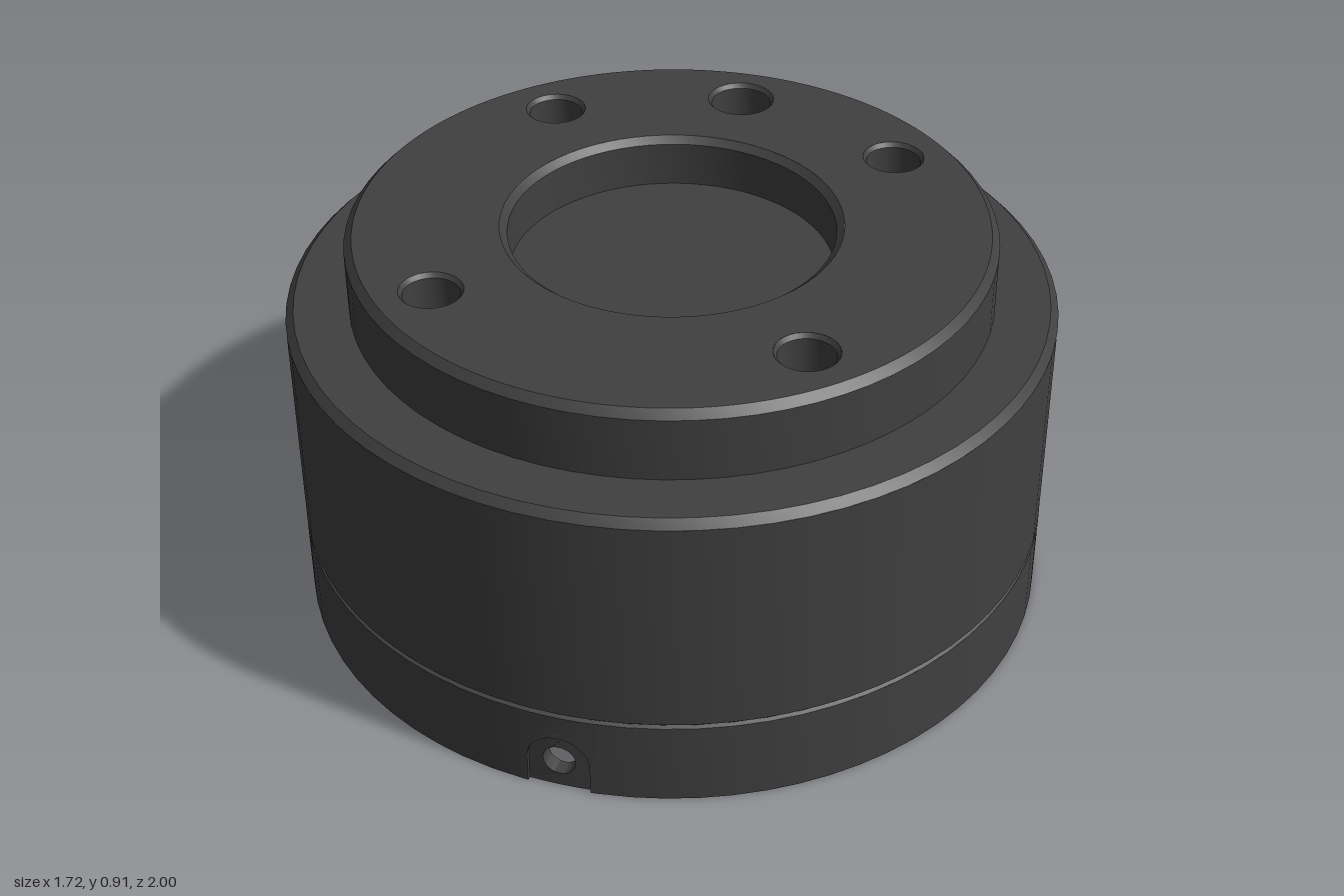
import * as THREE from 'three';
import { toCreasedNormals } from 'three/addons/utils/BufferGeometryUtils.js';

const SEG = 72, R = 0.86, INNER = 0.815;
const dark = new THREE.MeshStandardMaterial({ color: 0x404040 });
const grey = new THREE.MeshStandardMaterial({ color: 0xcccccc });
const steel = new THREE.MeshStandardMaterial({ color: 0xc4c8e6 });

function add(parent, name, geometry, material = dark) {
  const mesh = new THREE.Mesh(geometry, material);
  mesh.name = name;
  parent.add(mesh);
  return mesh;
}

// Turned part from [radius, y] pairs; gap leaves an opening centred on +z
function turned(points, seg = SEG, gap = 0) {
  const profile = points.map(([r, y]) => new THREE.Vector2(r, y));
  return toCreasedNormals(new THREE.LatheGeometry(profile, seg, gap, Math.PI * 2 - 2 * gap), 0.5);
}

// Wall panel outline, its long edges split so that it can be bent
function panelShape(w, y0, y1) {
  const n = 8, pts = [];
  for (let i = 0; i <= n; i++) pts.push(new THREE.Vector2(-w + (2 * w * i) / n, y0));
  for (let i = n; i >= 0; i--) pts.push(new THREE.Vector2(-w + (2 * w * i) / n, y1));
  return new THREE.Shape(pts);
}

function circle(x, y, r) {
  return new THREE.Path().absarc(x, y, r, 0, Math.PI * 2, true);
}

// Extrude a shape between two radii and wrap it round the y axis
function bentPanel(shape, r0, r1) {
  const geo = new THREE.ExtrudeGeometry(shape, { depth: r1 - r0, bevelEnabled: false, curveSegments: 24 });
  const p = geo.attributes.position;
  for (let i = 0; i < p.count; i++) {
    const a = p.getX(i) / R, r = r0 + p.getZ(i);
    p.setXYZ(i, r * Math.sin(a), p.getY(i), r * Math.cos(a));
  }
  return toCreasedNormals(geo, 0.5);
}

export function createModel() {
  const model = new THREE.Group();
  const body = new THREE.Group();
  body.name = 'housing';
  body.position.z = 0.14;
  model.add(body);

  // Base ring with a window for the vent
  const ventW = 0.085;
  add(body, 'baseRing', turned([[INNER, 0.14], [INNER, 0], [R, 0], [R, 0.2]], SEG, ventW / R));
  add(body, 'baseFloor', turned([[0, 0.14], [INNER, 0.14]]));

  // Vent: arched recess in the outer skin, round hole through the inner wall
  const arch = new THREE.Shape();
  arch.moveTo(-ventW, 0);
  arch.lineTo(-0.07, 0);
  arch.lineTo(-0.07, 0.07);
  arch.absarc(0, 0.07, 0.07, Math.PI, 0, true);
  arch.lineTo(0.07, 0);
  arch.lineTo(ventW, 0);
  for (let i = 0; i <= 6; i++) arch.lineTo(ventW - (ventW * i) / 3, 0.2);
  add(body, 'ventRecess', bentPanel(arch, 0.851, R));
  const ventWall = panelShape(ventW, 0, 0.2);
  ventWall.holes.push(circle(0, 0.07, 0.037));
  add(body, 'ventWall', bentPanel(ventWall, INNER, 0.851));

  // Groove, main wall and stepped collar
  add(body, 'groove', turned([[R, 0.2], [0.852, 0.204], [0.852, 0.208], [R, 0.212]]));
  const pinW = 0.17;
  const wall = add(body, 'mainWall', turned([[R, 0.212], [R, 0.728]], SEG, pinW / R));
  wall.rotation.y = Math.PI;
  add(body, 'shoulder', turned([[R, 0.728], [0.842, 0.746], [0.72, 0.746]]));
  add(body, 'collar', turned([[0.72, 0.746], [0.72, 0.892], [0.702, 0.91]]));

  // Top face with the bore and five screw holes on one pitch circle
  const face = new THREE.Shape().absarc(0, 0, 0.702, 0, Math.PI * 2, false);
  face.holes.push(circle(0, 0, 0.38));
  const holes = [45, 90, 135, 225, 315].map((deg) => {
    const a = (deg * Math.PI) / 180;
    return { x: 0.578 * Math.cos(a), y: 0.578 * Math.sin(a), r: deg === 90 ? 0.078 : 0.07 };
  });
  holes.forEach((h) => face.holes.push(circle(h.x, h.y, h.r)));
  const faceGeo = new THREE.ShapeGeometry(face, SEG);
  faceGeo.rotateX(-Math.PI / 2);
  add(body, 'topFace', faceGeo).position.y = 0.91;
  add(body, 'bore', turned([[0.38, 0.91], [0.363, 0.895], [0.363, 0.79], [0, 0.79]]));
  holes.forEach((h) => {
    const geo = turned([[h.r, 0], [h.r - 0.008, -0.01], [h.r - 0.008, -0.1], [0, -0.1]], 32);
    add(body, 'screwHole', geo).position.set(h.x, 0.91, -h.y);
  });

  // Rear locking pin in a flat round seat
  const rear = new THREE.Group();
  rear.name = 'lockingPin';
  rear.rotation.y = Math.PI;
  body.add(rear);
  const pinY = 0.405;
  const skin = panelShape(pinW, 0.212, 0.728);
  skin.holes.push(circle(0, pinY, 0.14));
  add(rear, 'pinWall', bentPanel(skin, 0.835, R));
  add(rear, 'pinSeat', new THREE.CircleGeometry(0.14, 40)).position.set(0, pinY, 0.847);

  const rod = turned([[0.075, 0.83], [0.075, 0.91]], 32);
  const profile = [[0, 0.9], [0.107, 0.9], [0.113, 0.906], [0.113, 1.09]];
  for (let i = 1; i <= 8; i++) {
    const a = (i / 8) * Math.PI / 2;
    profile.push([0.063 + 0.05 * Math.cos(a), 1.09 + 0.05 * Math.sin(a)]);
  }
  profile.push([0, 1.14]);
  const knob = turned(profile, 40);
  [rod, knob].forEach((g) => g.rotateX(Math.PI / 2).translate(0, pinY, 0));
  add(rear, 'rod', rod, steel);
  add(rear, 'knob', knob, grey);

  return model;
}
